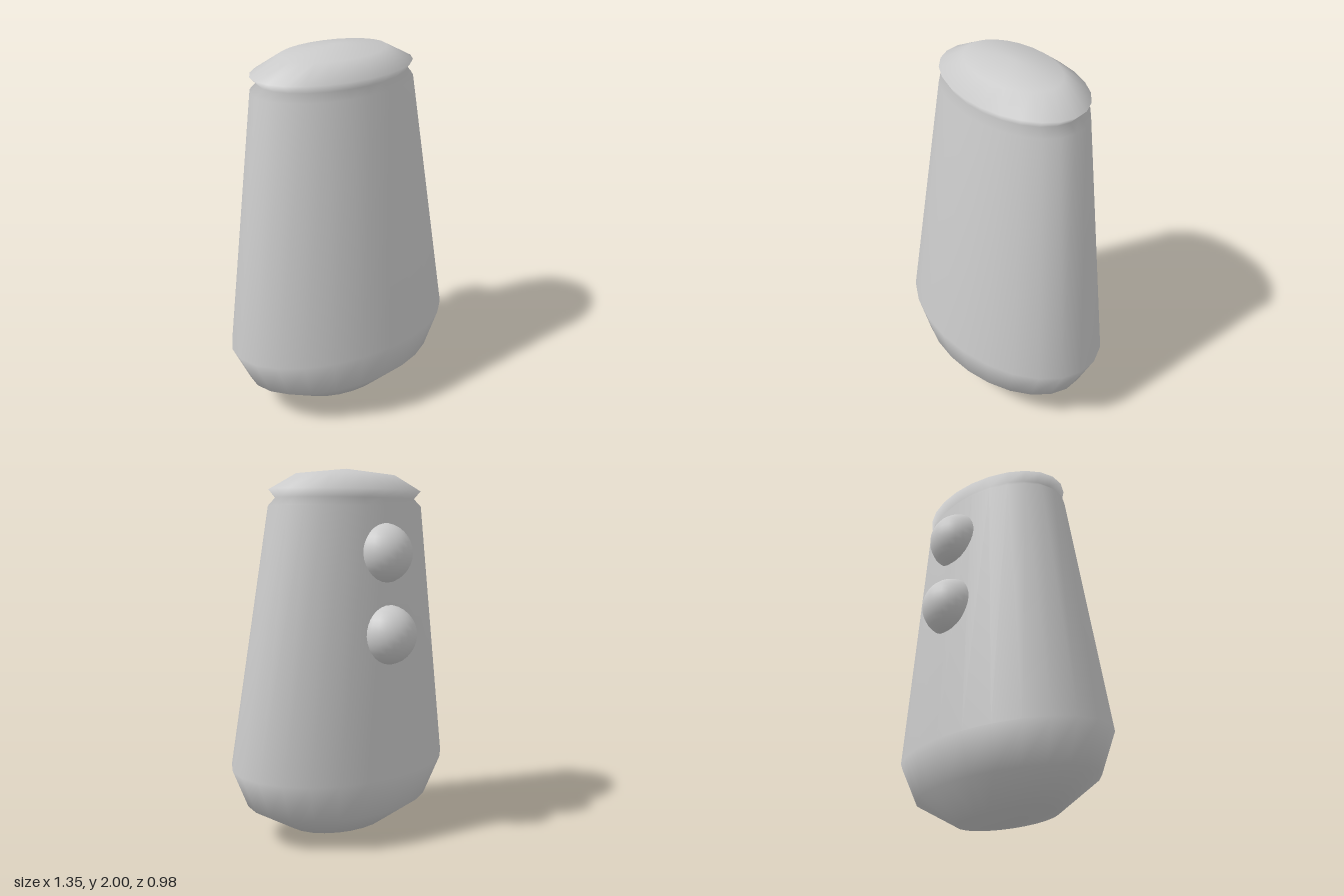
import * as THREE from 'three';
import { mergeVertices } from 'three/addons/utils/BufferGeometryUtils.js';

const SEGMENTS = 24;

// Elliptical rings from bottom to top: [y, centre z, half width x, half depth z, rise at front]
const RINGS = [
  [0.0, 0.07, 0, 0, 0],
  [0.043, 0.065, 0.32, 0.215, 0.015],
  [0.19, 0.055, 0.58, 0.385, 0.03],
  [0.4, 0.042, 0.677, 0.448, 0.03],
  [1.8, -0.012, 0.48, 0.307, 0],
  [1.842, -0.01, 0.437, 0.276, 0],
  [1.885, -0.013, 0.477, 0.304, 0],
  [1.968, -0.009, 0.315, 0.2, 0],
  [2.0, -0.008, 0, 0, 0],
];

// Smooth closed skin through the rings; the end rings shrink to a single point
function loft(rings) {
  const positions = [];
  const index = [];
  for (const [y, cz, rx, rz, rise] of rings) {
    for (let i = 0; i < SEGMENTS; i++) {
      const a = (i / SEGMENTS) * Math.PI * 2;
      positions.push(rx * Math.sin(a), y + rise * Math.cos(a), cz + rz * Math.cos(a));
    }
  }
  for (let r = 0; r < rings.length - 1; r++) {
    for (let i = 0; i < SEGMENTS; i++) {
      const j = (i + 1) % SEGMENTS;
      const a = r * SEGMENTS + i, b = r * SEGMENTS + j;
      const c = b + SEGMENTS, d = a + SEGMENTS;
      if (r > 0) index.push(a, b, c);
      if (r < rings.length - 2) index.push(a, c, d);
      if (r === 0) index.push(a, c, d);
    }
  }
  let geometry = new THREE.BufferGeometry();
  geometry.setAttribute('position', new THREE.Float32BufferAttribute(positions, 3));
  geometry.setIndex(index);
  geometry = mergeVertices(geometry);
  geometry.computeVertexNormals();
  return geometry;
}

export function createModel() {
  const group = new THREE.Group();
  const material = new THREE.MeshStandardMaterial({ color: 0xcccccc });

  // Tapered body with rounded base, neck groove and domed top
  const body = new THREE.Mesh(loft(RINGS), material);
  body.name = 'body';
  group.add(body);

  // Two round knobs half sunk into the back
  const knobs = [
    ['upperKnob', 1.555, -0.295],
    ['lowerKnob', 1.13, -0.332],
  ];
  for (const [name, y, z] of knobs) {
    const knob = new THREE.Mesh(new THREE.SphereGeometry(0.158, 24, 16), material);
    knob.name = name;
    knob.position.set(0, y, z);
    group.add(knob);
  }
  return group;
}
